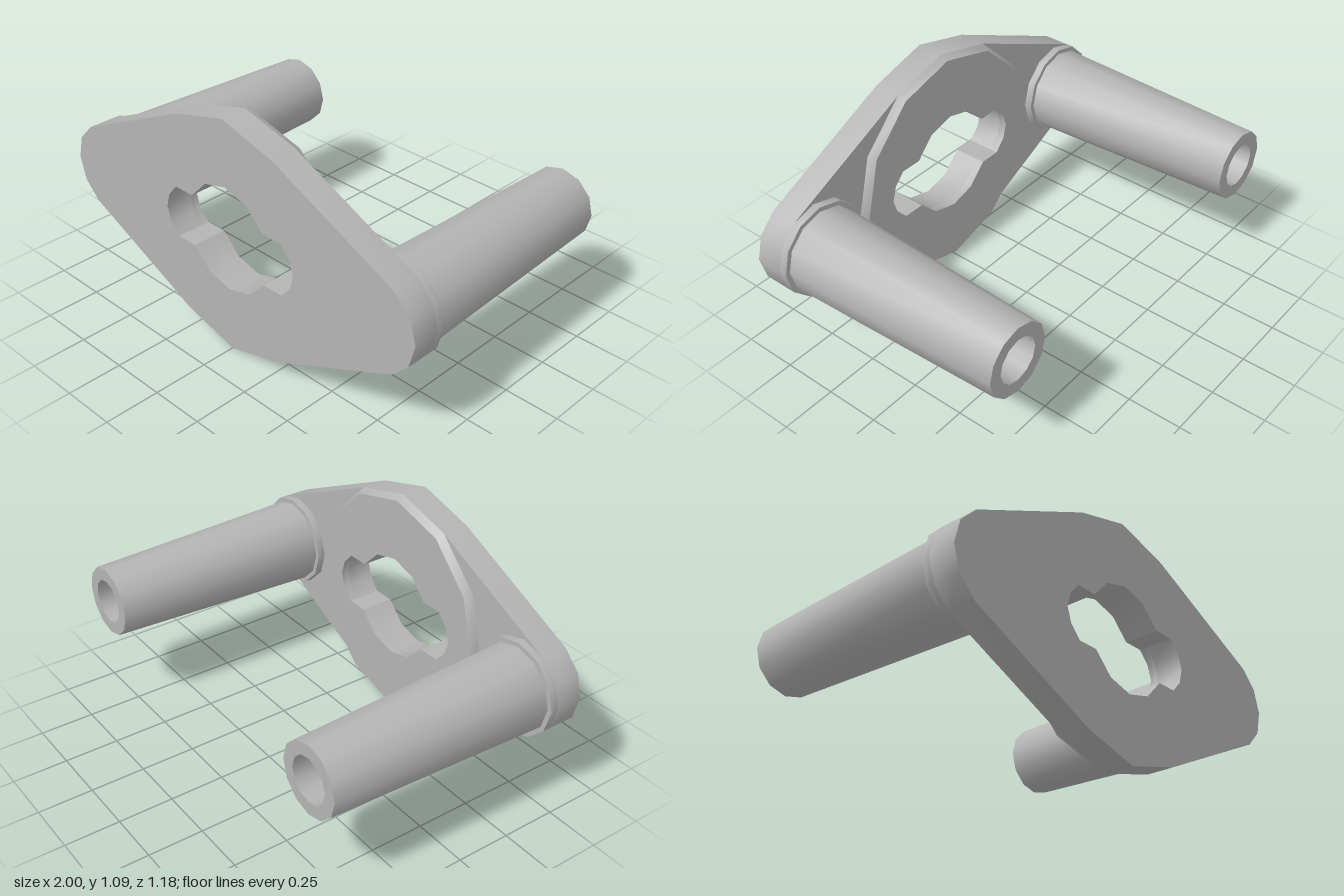
import * as THREE from 'three';
import { toCreasedNormals } from 'three/addons/utils/BufferGeometryUtils.js';

const CY = 0.546;      // height of the flange centre
const POST_X = 0.784;  // post offset from the centre
const BACK = 0.465;    // z of the plate's back face
const CREASE = 0.6;

// Mirrors a quarter outline (from the +x tip up to the +y tip) into a closed loop
function mirrorQuarter(quarter) {
  const upper = [...quarter, ...quarter.slice(0, -1).reverse().map(([x, y]) => [-x, y])];
  const lower = upper.slice(1, -1).reverse().map(([x, y]) => [x, -y]);
  return [...upper, ...lower].map(([x, y]) => new THREE.Vector2(x, y));
}

function arc(cx, r, steps) {
  return steps.map((i) => [cx + r * Math.cos((i * Math.PI) / 6), r * Math.sin((i * Math.PI) / 6)]);
}

function pierced(outline, depth) {
  const shape = new THREE.Shape(mirrorQuarter(outline));
  // slotted opening: a round centre with two side lobes
  const opening = [[0.38, 0], [0.36, 0.067], [0.31, 0.121], [0.21, 0.121], [0.121, 0.211], [0, 0.243]];
  shape.holes.push(new THREE.Path(mirrorQuarter(opening)));
  return new THREE.ExtrudeGeometry(shape, { depth, bevelEnabled: false });
}

export function createModel() {
  const group = new THREE.Group();
  const grey = new THREE.MeshStandardMaterial({ color: 0xb4b4b4 });
  grey.name = 'plain grey';

  function add(name, geometry, x, z) {
    const mesh = new THREE.Mesh(toCreasedNormals(geometry, CREASE), grey);
    mesh.name = name;
    mesh.position.set(x, CY, z);
    group.add(mesh);
  }

  // Diamond flange: round ends joined to a round middle by straight edges
  const outline = [...arc(0, 0.546, [2, 3])];
  add('flangePlate', pierced([...arc(POST_X, 0.216, [0, 1, 2]), ...outline], 0.59 - BACK), 0, BACK);

  // Raised round pad on the back, its rim flaring out toward the plate
  const pad = pierced(arc(0, 0.526, [0, 1, 2, 3]), 0.035);
  const p = pad.attributes.position;
  for (let i = 0; i < p.count; i++) {
    if (p.getZ(i) > 0.01 && Math.hypot(p.getX(i), p.getY(i)) > 0.5) {
      p.setXY(i, (p.getX(i) * 0.546) / 0.526, (p.getY(i) * 0.546) / 0.526);
    }
  }
  add('raisedPad', pad, 0, 0.43);

  // Hollow tapered posts with a collar at the root
  const profile = [[0.216, 0], [0.216, 0.035], [0.195, 0.035], [0.162, 1.055], [0.102, 1.055], [0.102, 0]]
    .map(([r, h]) => new THREE.Vector2(r, h));
  for (const [name, side] of [['leftPost', 1], ['rightPost', -1]]) {
    const post = new THREE.LatheGeometry(profile, 12).rotateX(-Math.PI / 2);
    add(name, post, side * POST_X, BACK);
  }
  return group;
}
